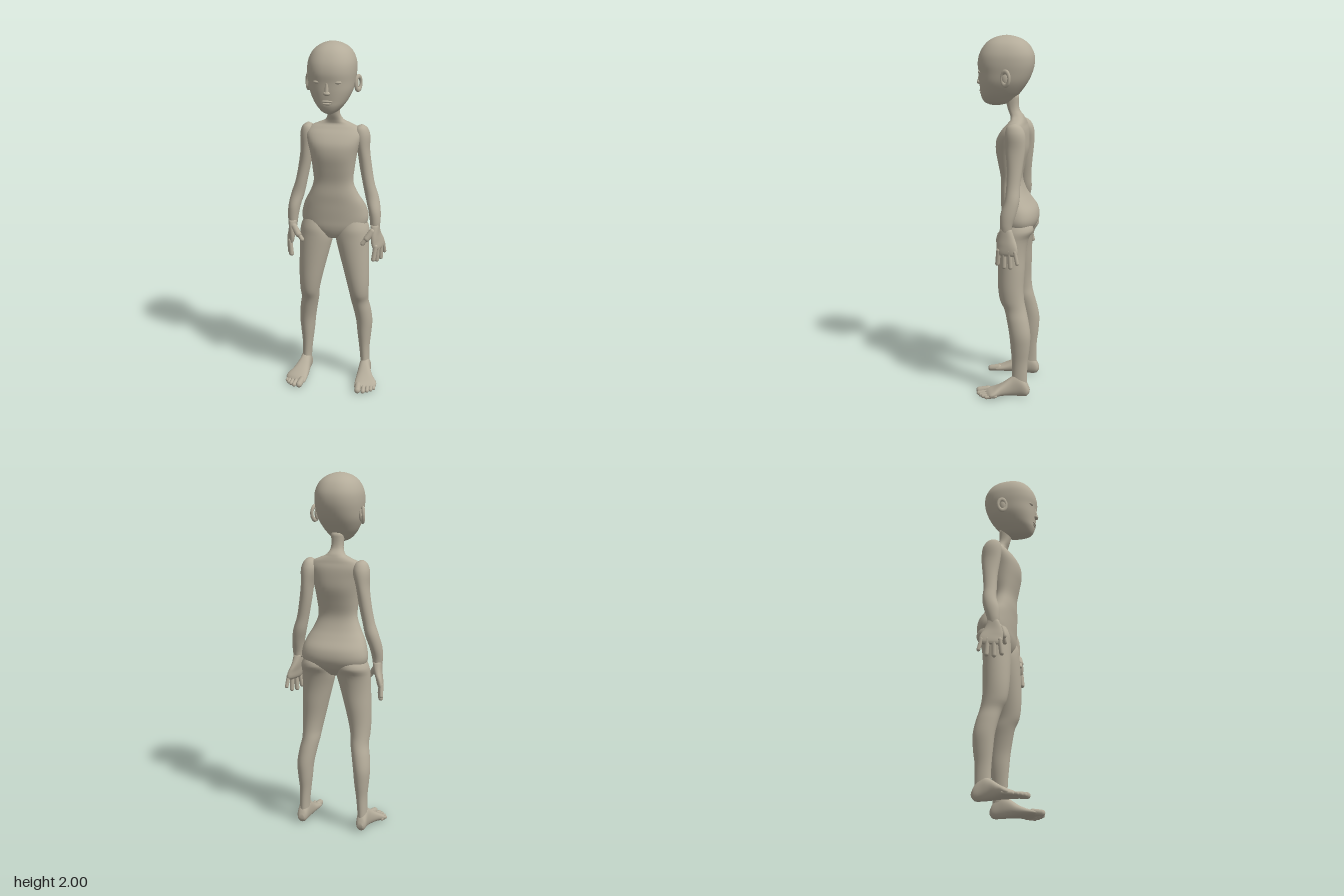
import * as THREE from 'three';

const clay = new THREE.MeshStandardMaterial({ color: 0xb4ac9a });
clay.name = 'clay';

// Smooth skin through cross-sections [height, x0, x1, z0, z1]
function loft(sections, power = 2, steps = 4, sides = 36) {
  const n = sections.length;
  const curves = [1, 3].map(k => new THREE.CatmullRomCurve3(
    sections.map(s => new THREE.Vector3(s[k], s[0], s[k + 1]))));
  const pos = [], index = [];
  const rings = (n - 1) * steps + 1;
  const bend = v => Math.sign(v) * Math.pow(Math.abs(v), 2 / power);
  for (let i = 0; i < rings; i++) {
    const a = curves[0].getPoint(i / (rings - 1));
    const b = curves[1].getPoint(i / (rings - 1));
    for (let j = 0; j < sides; j++) {
      const t = j / sides * Math.PI * 2;
      pos.push((a.x + a.z) / 2 + (a.z - a.x) / 2 * bend(Math.cos(t)), a.y,
        (b.x + b.z) / 2 + (b.z - b.x) / 2 * bend(Math.sin(t)));
    }
  }
  for (let i = 0; i < rings - 1; i++) for (let j = 0; j < sides; j++) {
    const k = (j + 1) % sides, a = i * sides, c = a + sides;
    index.push(a + j, c + j, a + k, a + k, c + j, c + k);
  }
  // End caps
  const top = (rings - 1) * sides;
  for (let j = 1; j < sides - 1; j++) index.push(0, j, j + 1, top, top + j + 1, top + j);
  const g = new THREE.BufferGeometry();
  g.setAttribute('position', new THREE.Float32BufferAttribute(pos, 3));
  g.setIndex(index);
  g.computeVertexNormals();
  return g;
}

// Move every vertex by a rule
function reshape(g, rule) {
  const p = g.attributes.position, v = new THREE.Vector3();
  for (let i = 0; i < p.count; i++) {
    rule(v.fromBufferAttribute(p, i));
    p.setXYZ(i, v.x, v.y, v.z);
  }
  g.computeVertexNormals();
  return g;
}

// Rounded digit between two points
function digit(a, b, r) {
  const from = new THREE.Vector3(...a), to = new THREE.Vector3(...b);
  const dir = to.clone().sub(from), g = new THREE.CapsuleGeometry(r, dir.length(), 6, 14);
  g.applyQuaternion(new THREE.Quaternion().setFromUnitVectors(
    new THREE.Vector3(0, 1, 0), dir.normalize()));
  return g.translate(...from.add(to).multiplyScalar(0.5).toArray());
}

function ball(x, y, z, rx, ry, rz) {
  return new THREE.SphereGeometry(1, 24, 16).scale(rx, ry, rz).translate(x, y, z);
}

function mirror(g) {
  const m = g.clone().scale(-1, 1, 1), ix = m.index;
  for (let i = 0; i < ix.count; i += 3) {
    const b = ix.getX(i + 1);
    ix.setX(i + 1, ix.getX(i + 2));
    ix.setX(i + 2, b);
  }
  m.computeVertexNormals();
  return m;
}

export function createModel() {
  const model = new THREE.Group();
  model.name = 'mannequin';
  const add = (name, g) => {
    const mesh = new THREE.Mesh(g, clay);
    mesh.name = name;
    model.add(mesh);
  };
  const both = (name, g) => {
    add('left' + name, g);
    add('right' + name, mirror(g));
  };
  const centred = rows => rows.map(([y, w, z0, z1]) => [y, -w, w, z0, z1]);

  // Torso and neck
  add('torso', loft(centred([
    [0.89, 0.05, -0.09, 0], [0.92, 0.11, -0.125, 0.015], [0.96, 0.175, -0.16, 0.025],
    [1.0, 0.19, -0.173, 0.027], [1.05, 0.183, -0.165, 0.03], [1.1, 0.165, -0.13, 0.032],
    [1.15, 0.137, -0.1, 0.035], [1.22, 0.112, -0.08, 0.035], [1.3, 0.118, -0.095, 0.05],
    [1.38, 0.13, -0.115, 0.064], [1.44, 0.145, -0.116, 0.058], [1.49, 0.155, -0.112, 0.028],
    [1.52, 0.14, -0.103, 0], [1.545, 0.09, -0.096, -0.018], [1.565, 0.05, -0.088, -0.014],
    [1.6, 0.034, -0.063, 0], [1.68, 0.038, -0.06, 0.02],
  ]), 2.3));

  // Head
  add('head', loft(centred([
    [1.622, 0.015, 0.04, 0.1], [1.638, 0.045, -0.02, 0.132], [1.67, 0.075, -0.05, 0.148],
    [1.7, 0.095, -0.075, 0.152], [1.75, 0.117, -0.11, 0.157], [1.8, 0.126, -0.133, 0.16],
    [1.85, 0.131, -0.145, 0.165], [1.9, 0.127, -0.142, 0.155], [1.95, 0.104, -0.115, 0.125],
    [1.98, 0.068, -0.075, 0.088], [1.995, 0.03, -0.03, 0.045], [2, 0.003, 0.005, 0.01],
  ]), 2.3, 5, 48));

  // Face
  add('noseBridge', digit([0, 1.8, 0.151], [0, 1.752, 0.16], 0.01));
  add('noseTip', ball(0, 1.745, 0.158, 0.019, 0.012, 0.016));
  add('upperLip', ball(0, 1.701, 0.148, 0.03, 0.007, 0.01));
  add('lowerLip', ball(0, 1.688, 0.147, 0.026, 0.007, 0.009));
  both('Eye', ball(0.053, 1.803, 0.14, 0.023, 0.01, 0.016));

  // Ears
  const ear = new THREE.TorusGeometry(0.024, 0.009, 10, 28).scale(1, 1.5, 1)
    .rotateY(Math.PI / 2 - 0.45).translate(0.138, 1.776, -0.01);
  both('EarRim', ear);
  both('EarBowl', ball(0.128, 1.774, -0.006, 0.012, 0.035, 0.02));

  // Arms
  both('Arm', loft([
    [0.965, 0.21, 0.262, -0.06, 0], [1.0, 0.206, 0.266, -0.066, 0.002],
    [1.06, 0.195, 0.264, -0.085, 0], [1.13, 0.175, 0.25, -0.1, -0.02],
    [1.2, 0.16, 0.227, -0.1, -0.025], [1.3, 0.14, 0.208, -0.11, -0.025],
    [1.4, 0.125, 0.195, -0.122, -0.014], [1.48, 0.105, 0.196, -0.12, -0.01],
    [1.52, 0.115, 0.182, -0.1, -0.02], [1.538, 0.14, 0.16, -0.07, -0.045],
  ]));

  // Hands, slanted so the palm turns slightly backward
  both('Palm', reshape(loft([
    [0.835, 0.25, 0.27, -0.085, 0.005], [0.85, 0.238, 0.274, -0.1, 0.018],
    [0.89, 0.228, 0.27, -0.096, 0.023], [0.93, 0.217, 0.264, -0.08, 0.018],
    [0.98, 0.21, 0.262, -0.06, 0],
  ], 2.3), v => { v.x += (-0.04 - v.z) * 0.3 * Math.min(1, (0.98 - v.y) * 10); }));
  [[0.246, 0.008, 0.236, 0.016, 0.785], [0.255, -0.023, 0.25, -0.022, 0.772],
    [0.266, -0.055, 0.266, -0.06, 0.775], [0.275, -0.086, 0.281, -0.1, 0.8],
  ].forEach(([x, z, tx, tz, ty], i) =>
    both('Finger' + (i + 1), digit([x, 0.86, z], [tx, ty, tz], i === 3 ? 0.0105 : 0.0125)));
  both('ThumbBase', digit([0.225, 0.945, 0], [0.197, 0.905, 0.014], 0.018));
  both('ThumbTip', digit([0.2, 0.91, 0.013], [0.174, 0.876, 0.018], 0.0125));

  // Legs
  both('Leg', loft([
    [0.06, 0.15, 0.204, -0.14, -0.05], [0.12, 0.148, 0.202, -0.14, -0.055],
    [0.2, 0.14, 0.202, -0.142, -0.053], [0.28, 0.13, 0.21, -0.152, -0.046],
    [0.36, 0.122, 0.216, -0.156, -0.038], [0.44, 0.108, 0.208, -0.143, -0.022],
    [0.5, 0.096, 0.197, -0.128, -0.006], [0.55, 0.09, 0.199, -0.117, 0.018],
    [0.62, 0.075, 0.202, -0.112, 0.03], [0.72, 0.05, 0.202, -0.116, 0.034],
    [0.82, 0.024, 0.2, -0.12, 0.033], [0.9, 0.006, 0.199, -0.135, 0.03],
    [0.95, 0.014, 0.194, -0.16, 0.026], [1.02, 0.05, 0.16, -0.12, 0],
  ]));

  // Feet, swept from heel to ball and slanted along the toe line
  const foot = loft([
    [-0.154, 0.165, 0.195, 0.025, 0.05], [-0.138, 0.152, 0.207, 0.006, 0.085],
    [-0.09, 0.147, 0.21, 0.002, 0.13], [-0.05, 0.145, 0.217, 0.003, 0.112],
    [0, 0.143, 0.24, 0.004, 0.076], [0.05, 0.143, 0.264, 0.003, 0.052],
    [0.09, 0.147, 0.268, 0.003, 0.038], [0.112, 0.158, 0.255, 0.01, 0.026],
  ].map(([z, x0, x1, y0, y1]) => [z, x0, x1, -y1, -y0]), 2.2).rotateX(Math.PI / 2);
  both('Foot', reshape(foot, v => { if (v.z > 0) v.z -= (v.x - 0.165) * 4 * v.z; }));
  [[0.173, 0.134, 0.018], [0.204, 0.131, 0.0125], [0.225, 0.116, 0.0115],
    [0.243, 0.099, 0.011], [0.257, 0.078, 0.0105],
  ].forEach(([x, z, r], i) =>
    both('Toe' + (i + 1), digit([x - 0.005, r + 0.008, z - 0.05], [x, r, z], r)));

  return model;
}
